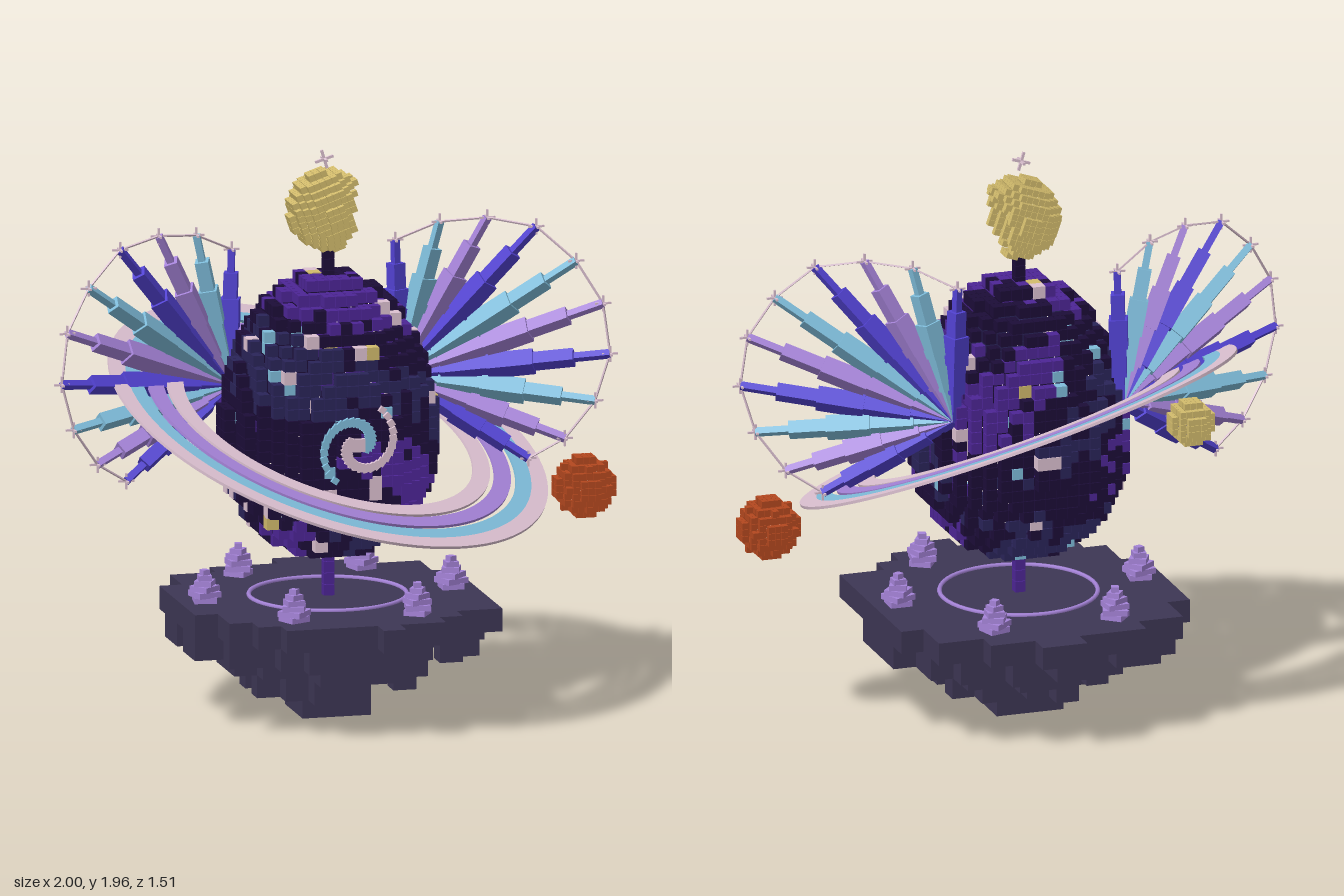
import * as THREE from 'three';
import { mergeGeometries } from 'three/addons/utils/BufferGeometryUtils.js';

const mat = (name, color) => {
  const m = new THREE.MeshStandardMaterial({ color });
  m.name = name;
  return m;
};
const CX = -0.012; // axis of the egg and island
const V = (x, y, z) => new THREE.Vector3(x, y, z);
const hash = (a, b, c = 0) => {
  const s = Math.sin(a * 127.1 + b * 311.7 + c * 74.7) * 43758.5453;
  return s - Math.floor(s);
};
const box = (w, h, d, x, y, z) => new THREE.BoxGeometry(w, h, d).translate(x, y, z);

// Cubes on a grid, keeping only those with an exposed side
function shellCells(n, pitch, inside) {
  const cells = [];
  const at = (i, j, k) => inside(i * pitch, j * pitch, k * pitch);
  for (let i = -n; i <= n; i++) for (let j = -n; j <= n; j++) for (let k = -n; k <= n; k++) {
    if (!at(i, j, k)) continue;
    if (at(i + 1, j, k) && at(i - 1, j, k) && at(i, j + 1, k) && at(i, j - 1, k) && at(i, j, k + 1) && at(i, j, k - 1)) continue;
    cells.push([i, j, k]);
  }
  return cells;
}

// Square bar from a to b, twisted about its own length
function bar(a, b, w, twist = 0) {
  const d = b.clone().sub(a);
  const g = new THREE.BoxGeometry(w, d.length(), w).rotateY(twist);
  g.applyQuaternion(new THREE.Quaternion().setFromUnitVectors(V(0, 1, 0), d.normalize()));
  const m = a.clone().add(b).multiplyScalar(0.5);
  return g.translate(m.x, m.y, m.z);
}

// Three crossed rods
function star(p, r, w, tilt = 0) {
  const g = mergeGeometries([box(2 * r, w, w, 0, 0, 0), box(w, 2 * r, w, 0, 0, 0), box(w, w, 2 * r, 0, 0, 0)]);
  return g.rotateZ(tilt).translate(p.x, p.y, p.z);
}

export function createModel() {
  const M = {
    night: mat('night', 0x1c0d38),
    navy: mat('navy', 0x2a2459),
    violet: mat('violet', 0x4d2596),
    sky: mat('sky', 0x7fbddb),
    blush: mat('blush', 0xdcc1d1),
    gold: mat('gold', 0xd2bb6c),
    lavender: mat('lavender', 0xa583d8),
    indigo: mat('indigo', 0x5242d2),
    rust: mat('rust', 0xb4481f),
    slate: mat('slate', 0x3d3654),
  };
  const root = new THREE.Group();
  const add = (name, geos, material, parent = root) => {
    const mesh = new THREE.Mesh(Array.isArray(geos) ? mergeGeometries(geos) : geos, material);
    mesh.name = name;
    parent.add(mesh);
    return mesh;
  };
  const group = (name) => {
    const g = new THREE.Group();
    g.name = name;
    root.add(g);
    return g;
  };

  // Floating island: columns of blocks hanging below a flat top
  const island = [];
  const S = 0.08;
  for (let i = -6; i <= 6; i++) for (let j = -7; j <= 7; j++) {
    const r = Math.hypot(i, j) * S;
    if (r > 0.53 + 0.05 * hash(i, j)) continue;
    const full = r < 0.15 ? 5 : r < 0.27 ? 4 : r < 0.37 ? 3 : r < 0.52 ? 2 : 1;
    const depth = Math.max(1, full - (hash(i, j, 5) < 0.35 ? 1 : 0));
    island.push(box(S, depth * S, S, CX + i * S, 0.4 - depth * S / 2, j * S));
  }
  island.push(box(S * 3, S, S * 3, CX, S / 2, 0));
  add('island', island, M.slate);
  add('islandCircle', new THREE.TorusGeometry(0.27, 0.008, 6, 48).rotateX(Math.PI / 2).translate(CX, 0.403, 0), M.lavender);

  // Twisted crystal stacks around the island
  const crystals = [];
  for (let c = 0; c < 6; c++) {
    const a = c * Math.PI / 3;
    [0.076, 0.084, 0.074, 0.06, 0.044, 0.026].forEach((w, l) => crystals.push(
      new THREE.BoxGeometry(w, 0.02, w).rotateY(0.4 * l + c)
        .translate(CX + 0.434 * Math.cos(a), 0.41 + l * 0.0185, 0.434 * Math.sin(a))));
  }
  add('crystals', crystals, M.lavender);

  // Stems under and over the egg
  const low = [], high = [];
  for (let k = 0; k < 5; k++) low.push(box(0.036, 0.038, 0.036, CX, 0.42 + k * 0.04, 0));
  for (let k = 0; k < 3; k++) high.push(box(0.036, 0.038, 0.036, CX, 1.515 + k * 0.04, 0));
  add('lowerStem', low, M.violet);
  add('upperStem', high, M.night);

  // Egg of cubes in drifting night colours with scattered stars
  const P = 0.04, egg = group('egg');
  const parts = { night: [], navy: [], violet: [], sky: [], blush: [], gold: [] };
  const inEgg = (x, y, z) => {
    const t = y > -0.02 ? (y + 0.02) / 0.57 : (y + 0.02) / 0.42;
    return Math.abs(t) < 1 && Math.hypot(x, z) < 0.369 * Math.sqrt(1 - t * t);
  };
  for (const [i, j, k] of shellCells(16, P, inEgg)) {
    const x = i * P, y = j * P, z = k * P;
    const n = Math.sin(9 * x + 5 * y + 2.6) + Math.sin(8 * z - 7 * y + 1) + Math.sin(11 * y + 6 * x - 4 * z) + 1.5 * (hash(i, j, k) - 0.5);
    const h = hash(k + 3, i + 7, j);
    let key = n < -1.3 || (n < -0.4 && y < -0.25) ? 'violet' : n > 0.7 ? 'navy' : 'night';
    if (h < 0.022) key = 'blush';
    else if (h < 0.03) key = 'gold';
    else if (h < 0.045 || (n > 1.9 && h < 0.25)) key = 'sky';
    const w = h < 0.03 ? 0.044 : 0.0375;
    parts[key].push(box(w, w, w, CX + x, 0.98 + y, z));
  }
  for (const key in parts) if (parts[key].length) add(key + 'Cubes', parts[key], M[key], egg);

  // Two-armed spiral floating before the egg
  const spiral = group('spiral');
  ['blush', 'sky'].forEach((key, s) => {
    const arm = [];
    for (let q = 0; q <= 22; q++) {
      const f = q / 22, r = 0.025 + 0.12 * f, a = (-200 + 255 * f) * Math.PI / 180 + s * Math.PI;
      const w = 0.034 - 0.012 * f;
      arm.push(new THREE.BoxGeometry(w, w, 0.014).rotateZ(a).translate(CX + r * Math.cos(a), 1.01 + r * Math.sin(a), 0.415));
    }
    if (s === 0) arm.push(box(0.045, 0.045, 0.016, CX, 1.01, 0.415));
    add(key + 'Arm', arm, M[key], spiral);
  });

  // Tilted flat rings
  const rings = group('rings');
  rings.position.set(CX, 0.99, 0);
  rings.quaternion.setFromUnitVectors(V(0, 1, 0), V(0.25, 0.92, 0.3).normalize());
  [[0.73, 0.79, 'blush'], [0.675, 0.73, 'sky'], [0.597, 0.657, 'lavender'], [0.52, 0.582, 'blush']].forEach(([a, b, key], n) => {
    const t = 0.005;
    // separate strips keep the rims sharp
    const strips = [[a, t, a, -t], [a, -t, b, -t], [b, -t, b, t], [b, t, a, t]].map(([r0, y0, r1, y1]) =>
      new THREE.LatheGeometry([new THREE.Vector2(r0, y0), new THREE.Vector2(r1, y1)], 96));
    const m = add('ringBand' + (n + 1), strips, M[key], rings);
    m.material.side = THREE.DoubleSide;
  });

  // Wings: fans of stepped feathers, tips joined by a fine thread
  const tips = [[0.288, 1.58], [0.428, 1.65], [0.578, 1.67], [0.733, 1.645], [0.858, 1.53],
    [0.943, 1.385], [0.965, 1.21], [0.918, 1.045], [0.823, 0.91], [0.708, 0.835]];
  const steps = [[0, 0.2, 0.036], [0.2, 0.42, 0.052], [0.42, 0.64, 0.064], [0.64, 0.83, 0.047], [0.83, 1, 0.024]];
  const onWing = (side, x, y) => V(CX + side * x, y, 0.11 - 0.45 * (0.965 - x));
  for (const side of [1, -1]) {
    const wing = group(side > 0 ? 'leftWing' : 'rightWing');
    const root0 = onWing(side, 0.3, 1.11), feathers = { indigo: [], sky: [], lavender: [] }, thread = [];
    const ends = tips.map(([x, y]) => onWing(side, x, y));
    ends.forEach((tip, n) => {
      const list = feathers[['indigo', 'sky', 'lavender'][n % 3]];
      for (const [f0, f1, w] of steps) {
        list.push(bar(root0.clone().lerp(tip, f0), root0.clone().lerp(tip, f1), w, Math.PI / 4 - side * 0.42));
      }
      thread.push(star(tip, 0.028, 0.007));
      if (n) thread.push(bar(ends[n - 1], tip, 0.006));
    });
    for (const key in feathers) add(key + 'Feathers', feathers[key], M[key], wing);
    add('tipThread', thread, M.blush, wing);
  }

  // Cube-built moons and planet
  const ball = (name, r, pitch, material, x, y, z, keep = () => true) => {
    const w = pitch * 0.94;
    const cells = shellCells(8, pitch, (a, b, c) => Math.hypot(a, b, c) < r && keep(a, b, c));
    const m = add(name, cells.map(([i, j, k]) => box(w, w, w, i * pitch, j * pitch, k * pitch)), material);
    m.position.set(x, y, z);
    return m;
  };
  ball('planet', 0.102, 0.0235, M.rust, 0.89, 0.73, 0);
  ball('smallMoon', 0.079, 0.022, M.gold, -0.4, 1.18, -0.67);
  // crescent with a rounded bite on one side
  ball('crescentMoon', 0.138, 0.022, M.gold, CX, 1.745, 0,
    (a, b, c) => Math.hypot(a - 0.115, b + 0.06, c) > 0.128).rotation.z = 0.33;
  add('topStar', star(V(-0.035, 1.93, 0.04), 0.033, 0.009, 0.3), M.blush);

  return root;
}
